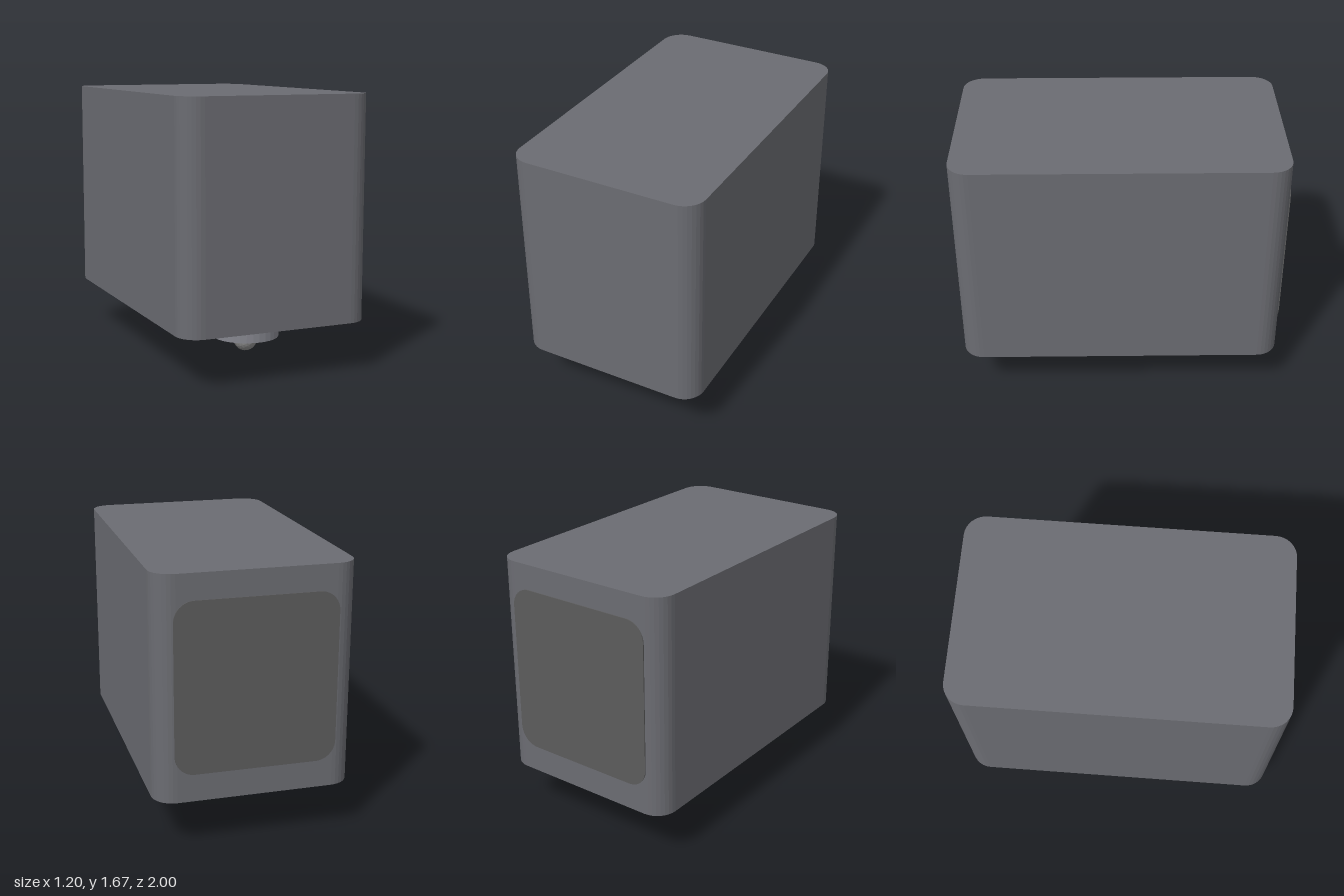
import * as THREE from 'three';

const paint = (color, flatShading = true) => {
  const m = new THREE.MeshStandardMaterial({ color });
  m.flatShading = flatShading;
  return m;
};
const bodyPaint = paint(0x6b6c72);
const darkPaint = paint(0x5c5c5c);
const discPaint = paint(0x85868e);
const ballPaint = paint(0x8c8c8c);

// Rectangle with rounded corners, centred on the origin
function roundedRect(w, h, r) {
  const x = w / 2, y = h / 2;
  const s = new THREE.Shape();
  s.absarc(x - r, y - r, r, 0, Math.PI / 2);
  s.absarc(-x + r, y - r, r, Math.PI / 2, Math.PI);
  s.absarc(-x + r, -y + r, r, Math.PI, Math.PI * 1.5);
  s.absarc(x - r, -y + r, r, Math.PI * 1.5, Math.PI * 2);
  s.closePath();
  return s;
}

function add(parent, name, geometry, material, x, y, z) {
  const mesh = new THREE.Mesh(geometry, material);
  mesh.name = name;
  mesh.position.set(x, y, z);
  parent.add(mesh);
  return mesh;
}

// Round stepped mount with a ball half sunk in its underside
function makeMount(name, z, outerR, innerR, ballR, ballY) {
  const g = new THREE.Group();
  g.name = name;
  g.position.z = z;
  add(g, 'upperDisc', new THREE.CylinderGeometry(outerR, outerR, 0.06, 32), darkPaint, 0, 0.27, 0);
  add(g, 'lowerDisc', new THREE.CylinderGeometry(innerR, innerR, 0.065, 32), discPaint, 0, 0.2075, 0);
  add(g, 'ball', new THREE.IcosahedronGeometry(ballR, 3), ballPaint, 0, ballY, 0);
  return g;
}

export function createModel() {
  const model = new THREE.Group();
  model.name = 'model';

  // Upright box with rounded vertical edges
  const bodyGeometry = new THREE.ExtrudeGeometry(roundedRect(1.2, 1.995, 0.13), {
    depth: 1.36, bevelEnabled: false, curveSegments: 4,
  });
  bodyGeometry.rotateX(-Math.PI / 2);
  add(model, 'body', bodyGeometry, bodyPaint, 0, 0.31, 0.0025);

  // Thin raised panel on the back
  const panelGeometry = new THREE.ExtrudeGeometry(roundedRect(0.97, 1.035, 0.12), {
    depth: 0.02, bevelEnabled: false, curveSegments: 6,
  });
  add(model, 'backPanel', panelGeometry, darkPaint, 0, 0.997, -1);

  // Large rear and small front mounts underneath
  model.add(makeMount('rearMount', -0.28, 0.465, 0.415, 0.145, 0.145));
  model.add(makeMount('frontMount', 0.525, 0.233, 0.206, 0.073, 0.15));

  return model;
}
